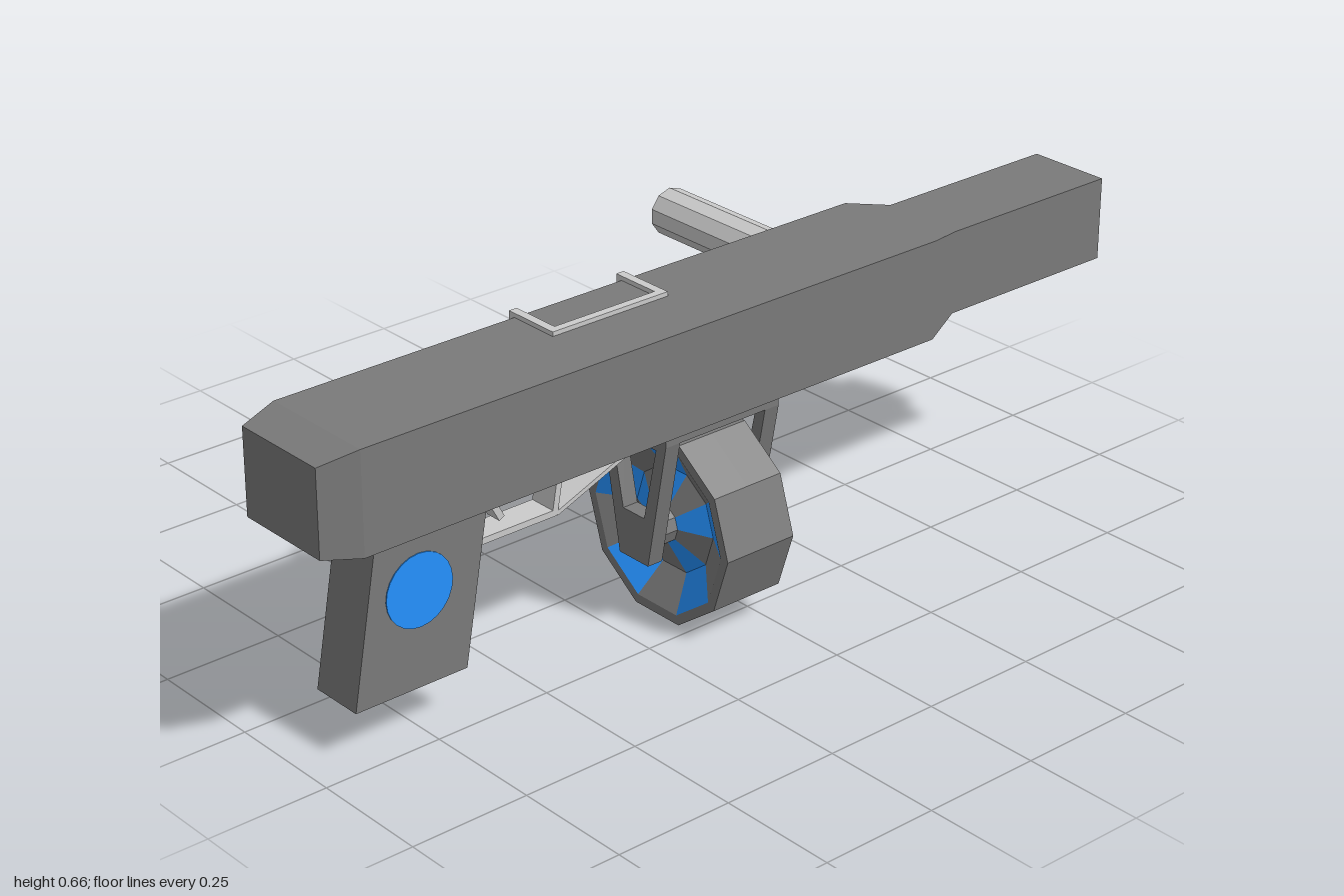
import * as THREE from 'three';

const light = new THREE.MeshStandardMaterial({ color: 0xcccccc, flatShading: true });
const dark = new THREE.MeshStandardMaterial({ color: 0x7a7a7a, flatShading: true });
const blue = new THREE.MeshStandardMaterial({ color: 0x2592ff, flatShading: true });
const MID_Z = 0.157; // centre plane of the body

export function createModel() {
  const model = new THREE.Group();

  const add = (name, geometry, material, parent = model) => {
    const mesh = new THREE.Mesh(geometry, material);
    mesh.name = name;
    parent.add(mesh);
    return mesh;
  };
  const group = (name) => {
    const g = new THREE.Group();
    g.name = name;
    model.add(g);
    return g;
  };
  // Box given by its minimum and maximum corners
  const box = (x0, y0, z0, x1, y1, z1) =>
    new THREE.BoxGeometry(x1 - x0, y1 - y0, z1 - z0)
      .translate((x0 + x1) / 2, (y0 + y1) / 2, (z0 + z1) / 2);
  const shapeOf = (pts) => new THREE.Shape(pts.map(([x, y]) => new THREE.Vector2(x, y)));
  const extrude = (shape, depth) =>
    new THREE.ExtrudeGeometry(shape, { depth, bevelEnabled: false });
  const fromTriangles = (points) => {
    const g = new THREE.BufferGeometry();
    g.setAttribute('position', new THREE.Float32BufferAttribute(points.flat(), 3));
    g.computeVertexNormals();
    return g;
  };
  const quad = (out, a, b, c, d) => out.push(a, b, c, a, c, d);

  // Body: rectangular sections [x, half height, half depth] lofted along x
  const sections = [
    [-1, 0.088, 0.107], [-0.92, 0.104, 0.126], [0.45, 0.104, 0.126],
    [0.54, 0.087, 0.09], [0.96, 0.087, 0.09],
  ].map(([x, h, d]) => [[-1, -1], [1, -1], [1, 1], [-1, 1]]
    .map(([sy, sz]) => [x, 0.549 + sy * h, MID_Z + sz * d]));
  const hull = [];
  for (let i = 0; i < sections.length - 1; i++) {
    for (let j = 0; j < 4; j++) {
      const k = (j + 1) % 4;
      quad(hull, sections[i][j], sections[i][k], sections[i + 1][k], sections[i + 1][j]);
    }
  }
  quad(hull, ...[...sections[0]].reverse());
  quad(hull, ...sections[sections.length - 1]);
  add('body', fromTriangles(hull), dark);
  add('muzzle', box(0.94, 0.492, 0.107, 1, 0.59, 0.207), light);

  // Ten-sided handle sticking out of the back
  add('sideHandle', new THREE.CylinderGeometry(0.05, 0.05, 0.41, 10)
    .rotateX(Math.PI / 2).translate(0.33, 0.549, -0.152), light);

  // Port frame folded over the top back edge
  const frame = group('portFrame');
  add('topBar', box(-0.385, 0.645, 0.125, -0.11, 0.662, 0.142), light, frame);
  add('lowerBar', box(-0.385, 0.51, 0.016, -0.11, 0.528, 0.04), light, frame);
  for (const x of [-0.385, -0.128]) {
    add('frameTopArm', box(x, 0.645, 0.016, x + 0.018, 0.662, 0.125), light, frame);
    add('frameSideArm', box(x, 0.528, 0.016, x + 0.018, 0.645, 0.04), light, frame);
  }

  // Slanted grip with a round inlay on both sides
  add('grip', extrude(shapeOf([[-0.905, 0.1], [-0.655, 0.1], [-0.593, 0.46], [-0.842, 0.46]]), 0.116)
    .translate(0, 0, MID_Z - 0.058), dark);
  add('gripInlay', new THREE.CylinderGeometry(0.074, 0.074, 0.12, 24)
    .rotateX(Math.PI / 2).translate(-0.757, 0.297, MID_Z), blue);

  // Trigger guard and trigger: flat strips following lines in the side plane
  const guard = group('triggerGuard');
  const strip = (name, pts, t, width) => {
    for (let i = 0; i < pts.length - 1; i++) {
      const [[x0, y0], [x1, y1]] = [pts[i], pts[i + 1]];
      const bar = add(name, new THREE.BoxGeometry(Math.hypot(x1 - x0, y1 - y0) + t * 0.6, t, width), light, guard);
      bar.position.set((x0 + x1) / 2, (y0 + y1) / 2, MID_Z);
      bar.rotation.z = Math.atan2(y1 - y0, x1 - x0);
    }
  };
  strip('guardLoop', [[-0.583, 0.45], [-0.605, 0.325], [-0.422, 0.325], [-0.4, 0.45]], 0.013, 0.06);
  strip('guardStrut', [[-0.415, 0.323], [-0.215, 0.402], [-0.215, 0.45]], 0.009, 0.06);
  strip('trigger', [[-0.535, 0.45], [-0.552, 0.415], [-0.553, 0.38], [-0.538, 0.352]], 0.014, 0.035);

  // Bracket: top plate and two tapering side plates with a window
  const bracket = group('drumBracket');
  add('bracketTop', box(-0.208, 0.41, 0.065, 0.075, 0.446, 0.249), dark, bracket);
  const plate = shapeOf([[0.198, 0.142], [0.249, 0.41], [0.249, 0.446], [0.065, 0.446], [0.065, 0.41], [0.116, 0.142]]);
  plate.holes.push(new THREE.Path([[0.221, 0.395], [0.187, 0.24], [0.127, 0.24], [0.093, 0.395]]
    .map(([z, y]) => new THREE.Vector2(z, y))));
  for (const x of [0.075, -0.173]) {
    add('bracketArm', extrude(plate, 0.035).rotateY(-Math.PI / 2).translate(x, 0, 0), dark, bracket);
  }

  // Drum: ten-sided, dished on both ends, alternate sectors coloured
  const drum = group('drum');
  const profile = [[0, 0.201], [0.083, 0.201], [0.083, 0.181], [0.038, 0.11], [0.07, 0.03]];
  const shell = [], panels = [];
  for (const side of [1, -1]) {
    for (let k = 0; k < 10; k++) {
      const p = ([x, r], n) => {
        const a = (n * Math.PI) / 5;
        return [side * x, r * Math.sin(a), r * Math.cos(a)];
      };
      for (let i = 0; i < profile.length - 1; i++) {
        const corners = [p(profile[i], k), p(profile[i + 1], k), p(profile[i + 1], k + 1), p(profile[i], k + 1)];
        if (side < 0) corners.reverse();
        quad(i > 1 && k % 2 === 0 ? panels : shell, ...corners);
      }
    }
  }
  add('drumShell', fromTriangles(shell), dark, drum);
  add('drumPanels', fromTriangles(panels), blue, drum);
  add('axle', new THREE.CylinderGeometry(0.04, 0.04, 0.23, 10).rotateZ(Math.PI / 2), dark, drum);
  drum.position.set(-0.067, 0.194, MID_Z);

  return model;
}
